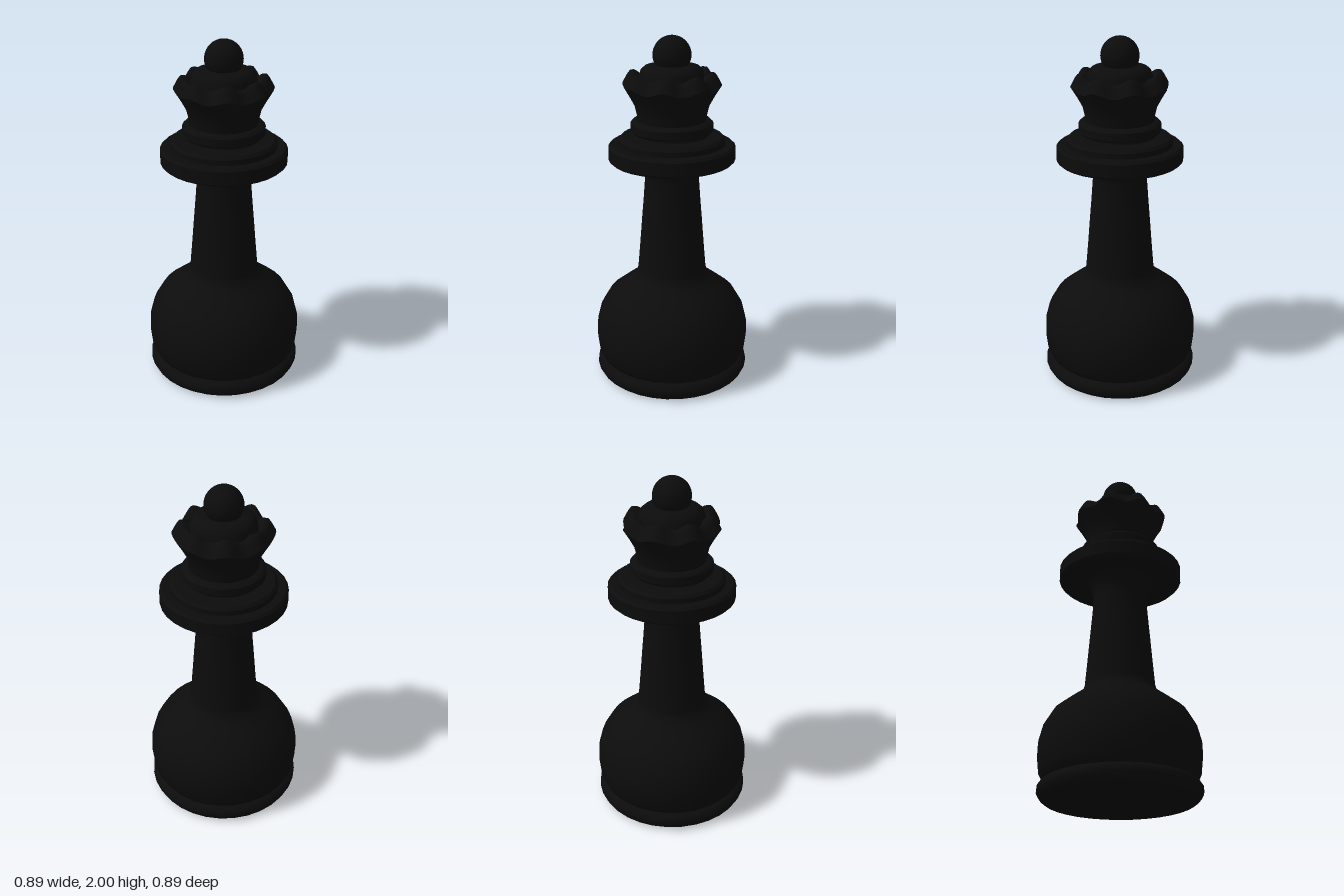
import * as THREE from 'three';
import { toCreasedNormals } from 'three/addons/utils/BufferGeometryUtils.js';

const SIDES = 32;
const LOBES = 8;

export function createModel() {
  const piece = new THREE.Group();
  piece.name = 'chessQueen';
  const black = new THREE.MeshStandardMaterial({ color: 0x0c0c0c });

  const add = (name, geometry) => {
    const mesh = new THREE.Mesh(geometry, black);
    mesh.name = name;
    piece.add(mesh);
    return mesh;
  };

  // Turned part from [radius, height] pairs, listed from bottom to top
  const turn = (profile, sides = SIDES) => new THREE.LatheGeometry(
    profile.map(([r, y]) => new THREE.Vector2(r, y)), sides, Math.PI / sides);
  const addTurned = (name, profile) => add(name, toCreasedNormals(turn(profile), 0.7));

  // Rounded foot ring with a closed underside
  addTurned('footRing', [
    [0, 0], [0.41, 0], [0.432, 0.018], [0.446, 0.045], [0.444, 0.07],
    [0.43, 0.09], [0.408, 0.102], [0, 0.102],
  ]);

  // Bulbous base
  addTurned('base', [
    [0.405, 0.1], [0.42, 0.115], [0.437, 0.15], [0.447, 0.24], [0.445, 0.31],
    [0.422, 0.4], [0.372, 0.485], [0.29, 0.55], [0.23, 0.595], [0.207, 0.62], [0.198, 0.65],
  ]);

  // Tapered stem flaring out below the collar
  addTurned('stem', [
    [0.198, 0.65], [0.185, 0.8], [0.173, 0.95], [0.162, 1.08], [0.153, 1.2],
    [0.156, 1.23], [0.169, 1.26], [0.185, 1.285], [0.2, 1.305],
  ]);

  // Wide collar disc with a smaller step on top
  addTurned('collar', [
    [0, 1.302], [0.342, 1.302], [0.356, 1.315], [0.356, 1.388], [0.342, 1.401], [0, 1.401],
  ]);
  addTurned('collarStep', [
    [0.2, 1.4], [0.297, 1.4], [0.297, 1.43], [0.282, 1.445], [0.2, 1.45], [0.195, 1.47],
  ]);

  // Neck ring
  addTurned('neckRing', [
    [0.19, 1.462], [0.215, 1.464], [0.23, 1.48], [0.23, 1.52], [0.215, 1.535], [0.185, 1.538],
  ]);

  // Crown: the rim is turned, then pulled in and down between the lobes
  const crown = turn([
    [0.19, 1.53], [0.195, 1.57], [0.207, 1.62], [0.24, 1.68], [0.276, 1.737],
    [0.25, 1.785], [0.235, 1.805], [0.215, 1.808], [0.195, 1.79], [0.175, 1.785],
  ], 64);
  const p = crown.attributes.position;
  for (let i = 0; i < p.count; i++) {
    const x = p.getX(i), y = p.getY(i), z = p.getZ(i);
    const dip = (1 - Math.cos(LOBES * Math.atan2(z, x))) / 2;
    const rim = THREE.MathUtils.smoothstep(y, 1.6, 1.8);
    const pull = 1 - 0.09 * dip * rim;
    p.setXYZ(i, x * pull, y - 0.035 * dip * rim, z * pull);
  }
  add('crown', toCreasedNormals(crown, 0.9));

  // Low dome inside the crown
  addTurned('crownDome', [
    [0.19, 1.74], [0.178, 1.79], [0.17, 1.815], [0.15, 1.832], [0.12, 1.84], [0, 1.845],
  ]);

  // Ball finial
  add('finial', new THREE.SphereGeometry(0.106, SIDES, 20)).position.y = 1.894;

  return piece;
}
